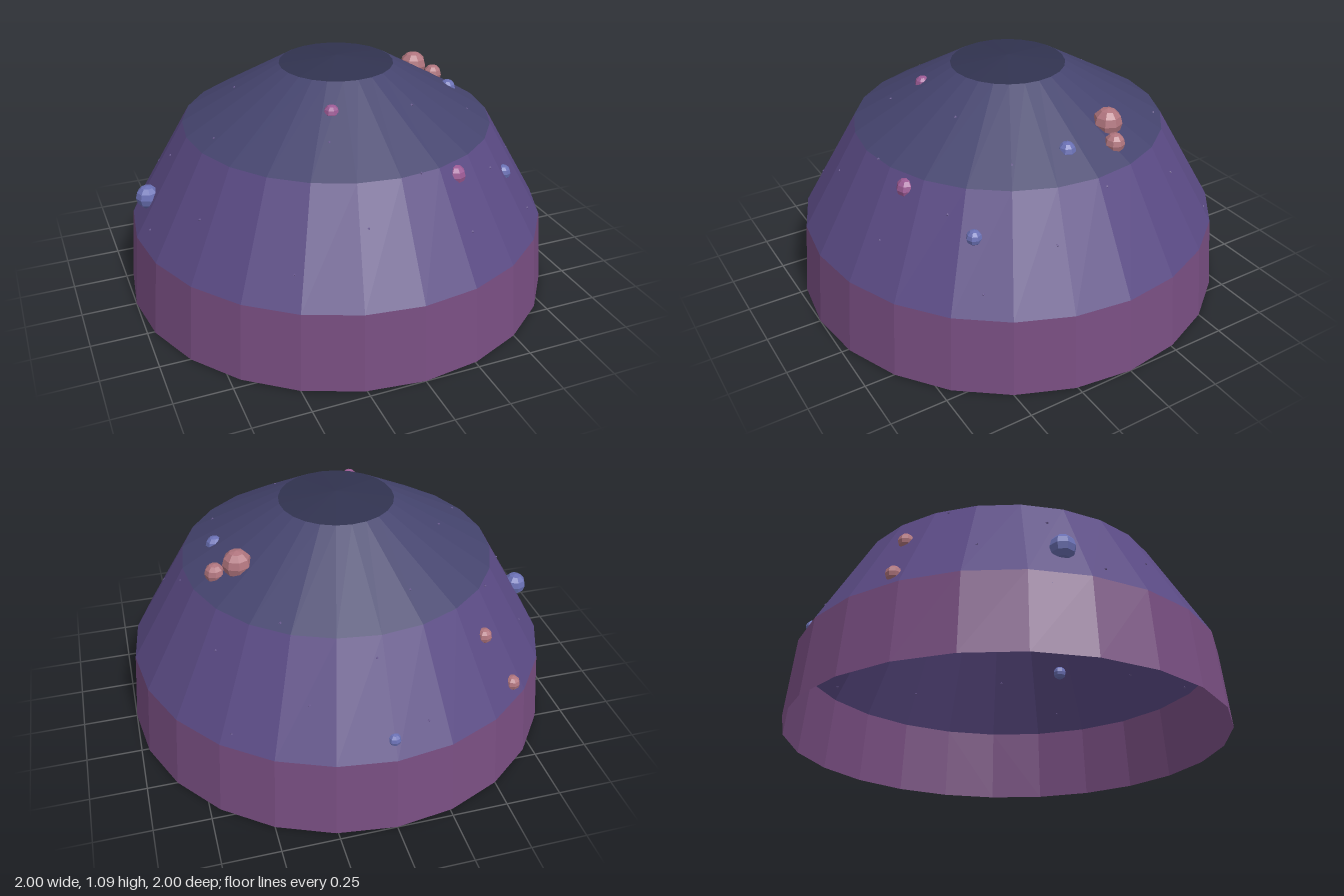
import * as THREE from 'three';

const SIDES = 24;
// Dome profile from rim to apex: [radius, height]
const PROFILE = [[1, 0], [0.966, 0.35], [0.707, 0.8], [0.259, 1.06], [0, 1.09]];
const BANDS = [
  ['rimBand', 0x774d80], ['lowerSkyBand', 0x5a4a84],
  ['upperSkyBand', 0x45446e], ['zenithCap', 0x313350],
];

const material = (color, side = THREE.FrontSide) =>
  new THREE.MeshStandardMaterial({ color, side, flatShading: true });

export function createModel() {
  const model = new THREE.Group();
  model.name = 'skyDome';

  // Open, faceted shell, one coloured band per profile step
  BANDS.forEach(([name, color], i) => {
    const [r0, y0] = PROFILE[i];
    const [r1, y1] = PROFILE[i + 1];
    const band = new THREE.Mesh(
      new THREE.CylinderGeometry(r1, r0, y1 - y0, SIDES, 1, true),
      material(color, THREE.DoubleSide));
    band.position.y = (y0 + y1) / 2;
    band.name = name;
    model.add(band);
  });

  // Low-poly planets set in or just inside the shell: [x, y, z, radius]
  const planets = {
    rosePlanet: [0xb0757e, [
      [0.49, 0.91, -0.2, 0.065], [0.585, 0.86, -0.17, 0.045], [-0.615, 0.41, -0.69, 0.035],
      [-0.49, 0.64, -0.62, 0.035], [-0.61, 0.68, 0.29, 0.06], [-0.67, 0.7, -0.03, 0.045],
    ]],
    bluePlanet: [0x6a70b4, [
      [-0.885, 0.5, -0.085, 0.055], [0.595, 0.63, 0.52, 0.035], [0.55, 0.87, 0.05, 0.04],
      [0, 0.42, -0.91, 0.03], [-0.8, 0.53, 0, 0.05], [-0.885, 0.3, -0.16, 0.065],
    ]],
    pinkPlanet: [0x9c5a94, [
      [0.275, 0.74, 0.655, 0.045], [-0.16, 0.97, 0.35, 0.035], [-0.9, 0.325, 0.03, 0.033],
    ]],
  };
  for (const [name, [color, spots]] of Object.entries(planets)) {
    const mat = material(color);
    for (const [x, y, z, r] of spots) {
      const planet = new THREE.Mesh(new THREE.SphereGeometry(r, 8, 6), mat);
      planet.position.set(x, y, z);
      planet.name = name;
      model.add(planet);
    }
  }

  // Tiny stars spiralling up the shell
  const starMat = material(0x6a5a90);
  for (let i = 0; i < 30; i++) {
    const y = 0.38 + 0.6 * (i / 30);
    const k = PROFILE.findIndex((p) => p[1] > y);
    const [[r0, y0], [r1, y1]] = [PROFILE[k - 1], PROFILE[k]];
    const r = (r0 + (r1 - r0) * (y - y0) / (y1 - y0)) * 0.993;
    const star = new THREE.Mesh(new THREE.OctahedronGeometry(0.007), starMat);
    star.position.set(r * Math.sin(i * 2.4), y, r * Math.cos(i * 2.4));
    star.name = 'star';
    model.add(star);
  }
  return model;
}
